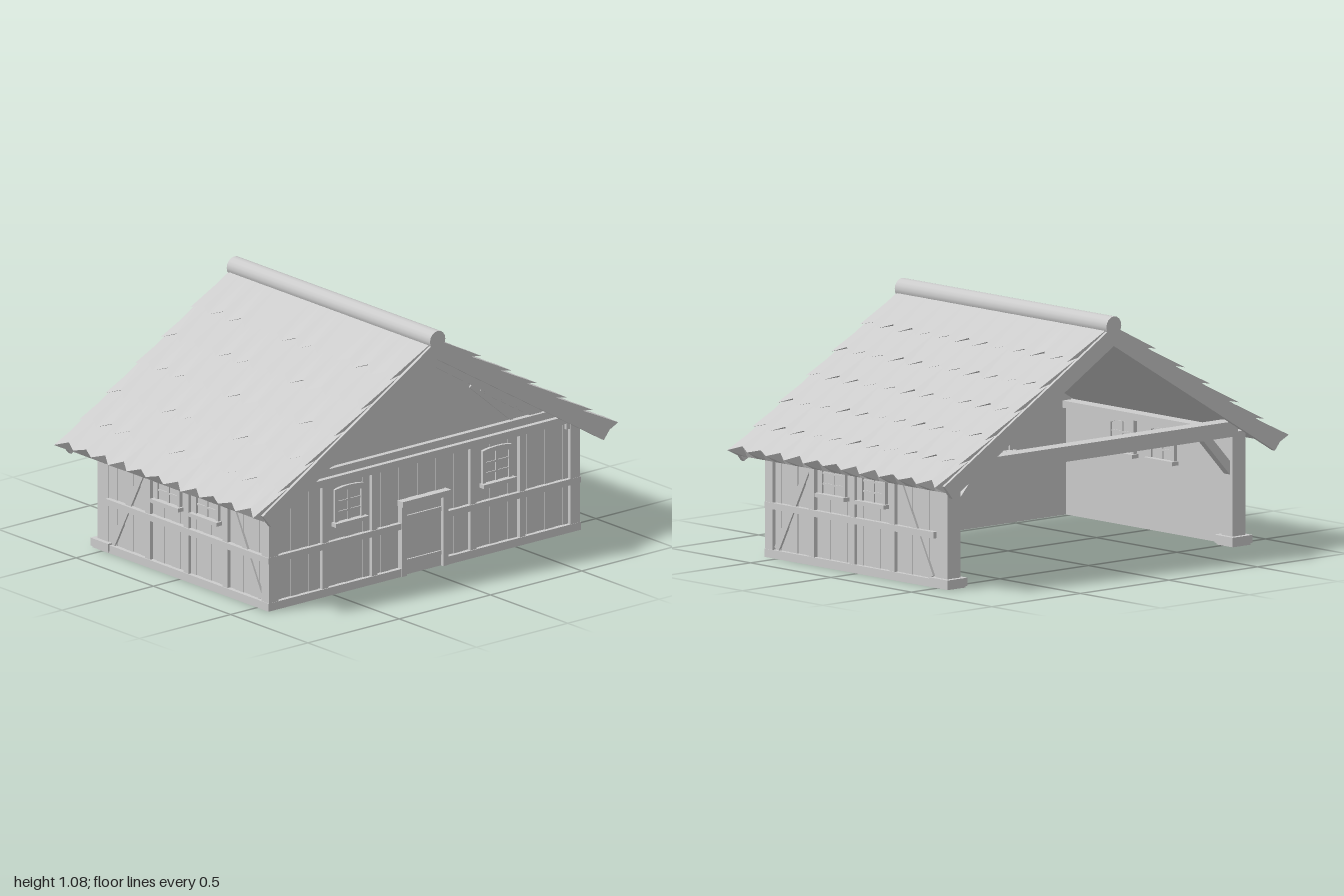
import * as THREE from 'three';

const grey = new THREE.MeshStandardMaterial({ color: 0xcccccc });
grey.name = 'palePlaster';

const PITCH = 0.6;                 // roof drop per unit of x
const RIDGE = 1.035;               // height of the roof surface at x = 0
const slope = (x, lift = 0) => RIDGE + lift - PITCH * x;

function add(parent, name, geometry) {
  const mesh = new THREE.Mesh(geometry, grey);
  mesh.name = name;
  parent.add(mesh);
  return mesh;
}

// Box given by its limits on each axis
function box(parent, name, x0, x1, y0, y1, z0, z1) {
  const mesh = add(parent, name, new THREE.BoxGeometry(x1 - x0, y1 - y0, z1 - z0));
  mesh.position.set((x0 + x1) / 2, (y0 + y1) / 2, (z0 + z1) / 2);
  return mesh;
}

// Slanted timber between two points in the xy plane
function brace(parent, name, x0, y0, x1, y1, width, z0, z1) {
  const len = Math.hypot(x1 - x0, y1 - y0);
  const mesh = add(parent, name, new THREE.BoxGeometry(len, width, z1 - z0));
  mesh.position.set((x0 + x1) / 2, (y0 + y1) / 2, (z0 + z1) / 2);
  mesh.rotation.z = Math.atan2(y1 - y0, x1 - x0);
}

// Flat outline with thickness from z0 to z1
function slab(parent, name, points, z0, z1, hole) {
  const toShape = (p) => p.map(([x, y]) => new THREE.Vector2(x, y));
  const shape = new THREE.Shape(toShape(points));
  if (hole) shape.holes.push(new THREE.Path(toShape(hole)));
  const geometry = new THREE.ExtrudeGeometry(shape, { depth: z1 - z0, bevelEnabled: false });
  geometry.translate(0, 0, z0);
  return add(parent, name, geometry);
}

// Upright outline with a shallow arched head
function arch(w, y0, y1, rise) {
  const points = [[-w, y0], [w, y0]];
  for (let i = 0; i <= 8; i++) {
    const t = 1 - i / 4;
    points.push([w * t, y1 + rise * (1 - t * t)]);
  }
  return points;
}

// Window with frame, glazing bars and sill; z = 0 is the wall surface
function windowUnit(parent, x, z, turn) {
  const g = new THREE.Group();
  g.name = 'window';
  g.position.set(x, 0, z);
  g.rotation.y = turn;
  slab(g, 'windowFrame', arch(0.08, 0.31, 0.455, 0.008), 0, 0.018, arch(0.063, 0.312, 0.432, 0.012));
  box(g, 'windowPane', -0.064, 0.064, 0.31, 0.44, 0, 0.009);
  box(g, 'windowMullion', -0.006, 0.006, 0.31, 0.442, 0, 0.014);
  for (const y of [0.352, 0.397]) box(g, 'windowBar', -0.064, 0.064, y - 0.004, y + 0.004, 0, 0.014);
  box(g, 'windowSill', -0.09, 0.09, 0.295, 0.312, 0, 0.036);
  parent.add(g);
}

// Boarding with alternating depth so the joints show
function planks(parent, x0, x1, y0, y1) {
  const n = Math.round((x1 - x0) / 0.05);
  const w = (x1 - x0) / n;
  for (let i = 0; i < n; i++) {
    box(parent, 'plank', x0 + i * w, x0 + (i + 1) * w, y0, y1, -0.005, i % 2 ? 0.003 : 0.006);
  }
}

function frontWall() {
  const g = new THREE.Group();
  g.name = 'frontWall';
  g.position.z = 0.55;
  const top = slope(0.83, -0.045);
  slab(g, 'gableWall', [[-0.83, 0], [0.83, 0], [0.83, top], [0, RIDGE - 0.045], [-0.83, top]], -0.03, 0);
  planks(g, -0.82, 0.82, 0.03, 0.485);
  box(g, 'wallPlate', -0.83, 0.83, 0.485, 0.517, -0.01, 0.028);
  box(g, 'gableBeam', -0.74, 0.74, 0.525, 0.557, -0.01, 0.024);
  for (const s of [-1, 1]) {
    for (const x of [0.54, 0.27]) box(g, 'frontPost', s * x - 0.016, s * x + 0.016, 0.035, 0.485, 0, 0.02);
    const a = s * 0.12, b = s * 0.855;
    box(g, 'frontRail', Math.min(a, b), Math.max(a, b), 0.208, 0.235, 0, 0.024);
    box(g, 'frontSill', Math.min(a, b), Math.max(a, b), 0, 0.035, -0.03, 0.024);
    box(g, 'doorJamb', s * 0.113 - 0.014, s * 0.113 + 0.014, 0, 0.31, 0, 0.028);
    // Gable trim and raking braces
    brace(g, 'gableTrim', 0, 0.935, s * 0.67, 0.533, 0.028, 0, 0.01);
    brace(g, 'gableBrace', s * 0.27, 0.755, s * 0.5, 0.56, 0.025, 0, 0.007);
    brace(g, 'gableBrace', s * 0.32, 0.725, s * 0.6, 0.56, 0.018, 0, 0.009);
    windowUnit(g, s * 0.405, 0, 0);
    windowUnit(g, s * 0.405, -0.03, Math.PI);
  }
  box(g, 'doorPanel', -0.1, 0.1, 0, 0.31, 0, 0.012);
  for (const y of [0.05, 0.243]) box(g, 'doorBatten', -0.095, 0.095, y, y + 0.018, 0, 0.02);
  box(g, 'doorLintel', -0.132, 0.132, 0.308, 0.333, 0, 0.04);
  return g;
}

// Side wall; local x runs along the wall, local z points outward
function sideWall(s) {
  const g = new THREE.Group();
  g.name = s > 0 ? 'leftWall' : 'rightWall';
  g.position.x = s * 0.83;
  g.rotation.y = s * Math.PI / 2;
  const along = (name, za, zb, y0, y1, d0, d1) => {
    const a = -s * za, b = -s * zb;
    box(g, name, Math.min(a, b), Math.max(a, b), y0, y1, d0, d1);
  };
  along('sideWallPanel', -0.49, 0.55, 0, 0.485, -0.03, 0);
  planks(g, s > 0 ? -0.54 : -0.48, s > 0 ? 0.48 : 0.54, 0.03, 0.48);
  along('sideSill', -0.47, 0.574, 0, 0.035, -0.03, 0.024);
  along('sideRail', -0.48, 0.572, 0.208, 0.235, 0, 0.026);
  along('sidePlate', -0.55, 0.57, 0.455, 0.485, -0.05, 0.012);
  along('cornerPost', 0.525, 0.573, 0.035, 0.485, -0.03, 0.022);
  for (const z of [0.285, 0.035, -0.215]) along('sidePost', z - 0.016, z + 0.016, 0.035, 0.475, 0, 0.02);
  brace(g, 'sideBrace', -s * 0.51, 0.04, -s * 0.3, 0.44, 0.03, 0, 0.014);
  brace(g, 'sideBrace', s * 0.45, 0.04, s * 0.24, 0.44, 0.03, 0, 0.014);
  for (const z of [0.16, -0.09]) {
    windowUnit(g, -s * z, 0, 0);
    windowUnit(g, -s * z, -0.03, Math.PI);
  }
  return g;
}

// Open back: posts on footings carrying a tie beam
function backFrame() {
  const g = new THREE.Group();
  g.name = 'backFrame';
  for (const s of [-1, 1]) {
    const x = s * 0.805;
    box(g, 'backPost', x - 0.036, x + 0.036, 0.04, 0.485, -0.55, -0.48);
    box(g, 'postFooting', x - 0.056, x + 0.056, 0.008, 0.042, -0.572, -0.458);
    box(g, 'postFootingBase', x - 0.05, x + 0.05, 0, 0.01, -0.566, -0.464);
    brace(g, 'kneeBrace', s * 0.79, 0.31, s * 0.63, 0.48, 0.04, -0.533, -0.497);
  }
  box(g, 'tieBeam', -0.8, 0.8, 0.465, 0.53, -0.55, -0.48);
  return g;
}

// One course of tiles with a raised, zigzag lower edge
function tileCourse(x0, tip, last) {
  const n = 22, p = [];
  const column = (j) => {
    const z = 0.645 - 1.29 * j / n;
    const lip = tip + (j % 2 ? -0.015 : 0.015) + 0.004 * Math.sin(j * 2.3 + tip * 20);
    const ux = last ? 0.94 : tip - 0.06;
    return [[x0, slope(x0, 0.001), z], [lip, slope(lip, 0.025), z], [ux, slope(ux, last ? -0.04 : -0.005), z]];
  };
  const tri = (...v) => v.forEach((q) => p.push(...q));
  for (let j = 0; j < n; j++) {
    const [a, l, u] = column(j), [a2, l2, u2] = column(j + 1);
    tri(a, l, l2); tri(a, l2, a2);
    tri(l, u, u2); tri(l, u2, l2);
    if (j === 0) tri(a, u, l);
    if (j === n - 1) tri(a2, l2, u2);
  }
  const geometry = new THREE.BufferGeometry();
  geometry.setAttribute('position', new THREE.Float32BufferAttribute(p, 3));
  geometry.computeVertexNormals();
  return geometry;
}

function roofSlope(name) {
  const g = new THREE.Group();
  g.name = name;
  slab(g, 'roofDeck', [[0, RIDGE - 0.04], [0.94, slope(0.94, -0.04)], [0.94, slope(0.94)], [0, RIDGE]], -0.642, 0.642);
  const tips = [0.24, 0.395, 0.545, 0.7, 0.85, 0.982];
  tips.forEach((tip, i) => {
    add(g, 'tileCourse', tileCourse(i ? tips[i - 1] - 0.04 : 0, tip, i === tips.length - 1));
  });
  // Barge boards on both gable ends
  for (const z of [-0.658, 0.638]) {
    slab(g, 'bargeBoard', [[0, 0.95], [0.91, 0.404], [0.957, slope(0.957)], [0, RIDGE]], z, z + 0.02);
  }
  return g;
}

export function createModel() {
  const house = new THREE.Group();
  house.name = 'timberHouse';
  house.add(frontWall(), sideWall(1), sideWall(-1), backFrame());

  const leftRoof = roofSlope('leftRoof');
  const rightRoof = roofSlope('rightRoof');
  rightRoof.rotation.y = Math.PI;
  house.add(leftRoof, rightRoof);

  // Rounded ridge cap
  const ridge = add(house, 'ridgeCap', new THREE.CylinderGeometry(0.042, 0.042, 1.316, 16));
  ridge.rotation.x = Math.PI / 2;
  ridge.position.y = 1.034;
  return house;
}
